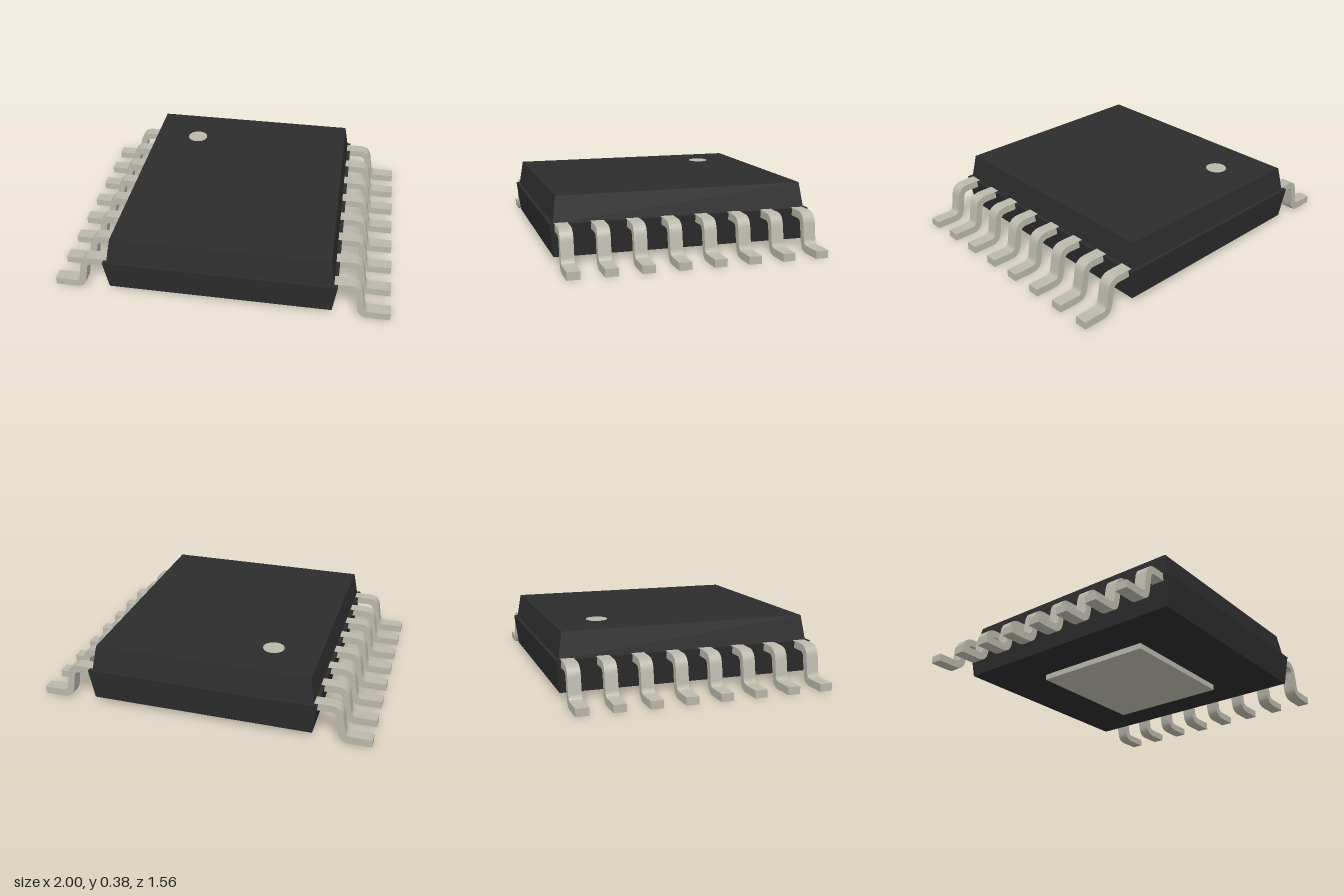
import * as THREE from 'three';
import { toCreasedNormals } from 'three/addons/utils/BufferGeometryUtils.js';

// Box whose half-sizes differ between bottom and top
function taperedBlock(y0, x0, z0, y1, x1, z1) {
  const geo = new THREE.BoxGeometry(2, 2, 2);
  const p = geo.attributes.position;
  for (let i = 0; i < p.count; i++) {
    const top = p.getY(i) > 0;
    p.setXYZ(i, p.getX(i) * (top ? x1 : x0), top ? y1 : y0, p.getZ(i) * (top ? z1 : z0));
  }
  geo.computeVertexNormals();
  return geo;
}

// Gull-wing lead: side profile extruded to the lead width
function leadGeometry(width) {
  const s = new THREE.Shape();
  s.moveTo(0.6, 0.229);
  s.lineTo(0.755, 0.229);
  s.bezierCurveTo(0.805, 0.229, 0.826, 0.205, 0.833, 0.16);
  s.lineTo(0.846, 0.075);
  s.quadraticCurveTo(0.85, 0.045, 0.88, 0.045);
  s.lineTo(1, 0.045);
  s.lineTo(1, 0);
  s.lineTo(0.88, 0);
  s.bezierCurveTo(0.83, 0, 0.812, 0.025, 0.805, 0.07);
  s.lineTo(0.792, 0.155);
  s.quadraticCurveTo(0.787, 0.185, 0.755, 0.185);
  s.lineTo(0.6, 0.185);
  s.closePath();
  const geo = new THREE.ExtrudeGeometry(s, { depth: width, bevelEnabled: false, curveSegments: 8 });
  geo.translate(0, 0, -width / 2);
  return toCreasedNormals(geo, 0.6);
}

export function createModel() {
  const model = new THREE.Group();
  const plastic = new THREE.MeshStandardMaterial({ color: 0x2c2c2c });
  plastic.name = 'black plastic';
  const metal = new THREE.MeshStandardMaterial({ color: 0xbab8ab });
  metal.name = 'tinned metal';

  const add = (name, geo, mat) => {
    const mesh = new THREE.Mesh(geo, mat);
    mesh.name = name;
    model.add(mesh);
    return mesh;
  };

  // Two moulded halves with a small ledge between them
  add('lowerBody', taperedBlock(0.035, 0.662, 0.755, 0.226, 0.686, 0.778), plastic);
  add('upperBody', taperedBlock(0.226, 0.665, 0.757, 0.375, 0.64, 0.735), plastic);

  // Heat pad underneath
  add('thermalPad', new THREE.BoxGeometry(0.79, 0.035, 0.75).translate(0, 0.0175, 0), metal);

  // Marker dot by the first lead
  add('pinOneDot', new THREE.CylinderGeometry(0.063, 0.063, 0.004, 32), metal)
    .position.set(-0.36, 0.375, -0.46);

  // Eight leads along each side
  const lead = leadGeometry(0.074);
  for (const side of [1, -1]) {
    for (let i = 0; i < 8; i++) {
      const mesh = add(side > 0 ? 'leftLead' : 'rightLead', lead, metal);
      mesh.position.z = (i - 3.5) * 0.2035;
      mesh.rotation.y = side > 0 ? 0 : Math.PI;
    }
  }
  return model;
}
